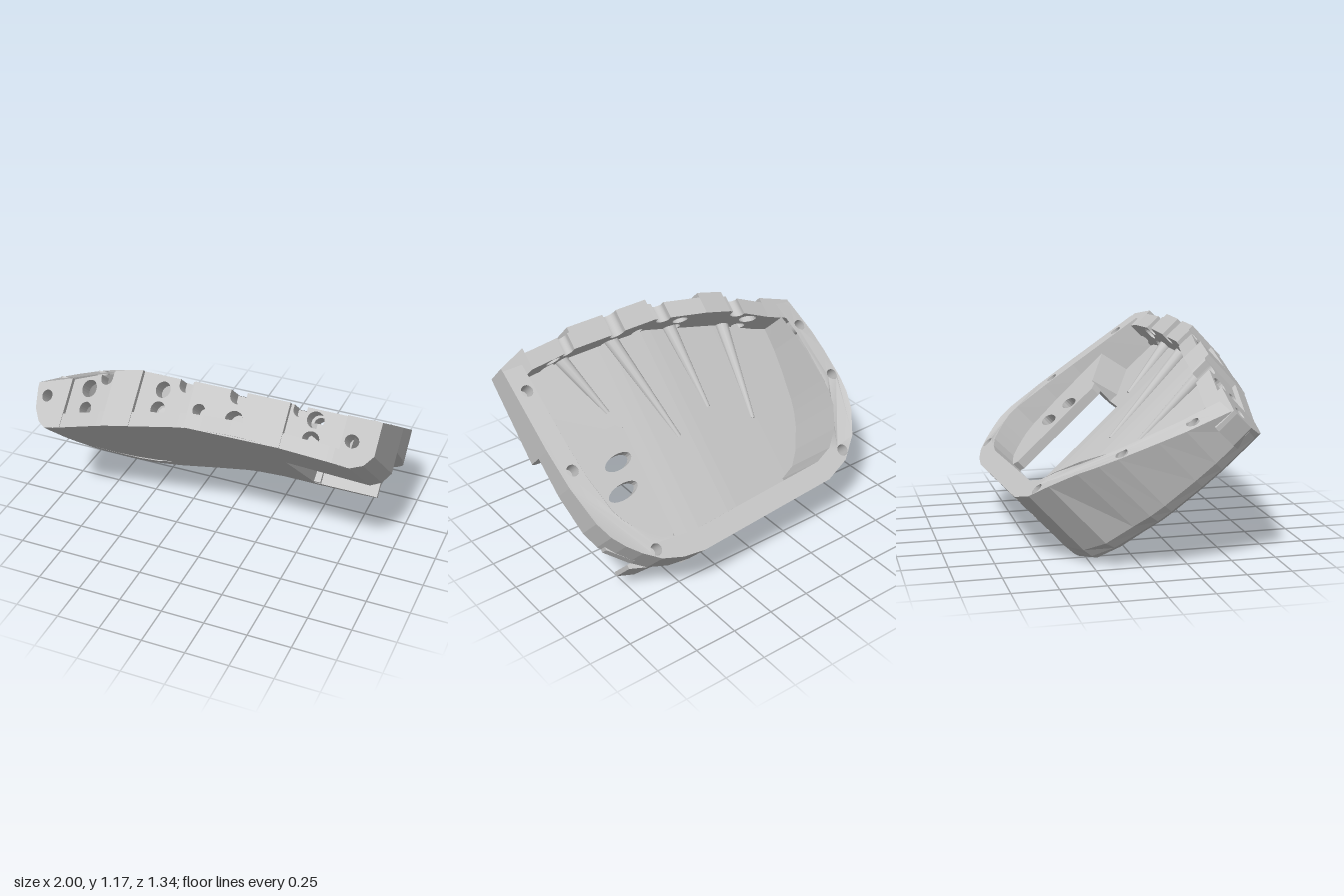
import * as THREE from 'three';

const lerpTable = (t, x) => {
  if (x <= t[0][0]) return t[0][1];
  for (let i = 1; i < t.length; i++) {
    const [x0, y0] = t[i - 1], [x1, y1] = t[i];
    if (x <= x1) return y0 + (y1 - y0) * (x - x0) / (x1 - x0);
  }
  return t[t.length - 1][1];
};
const clamp = THREE.MathUtils.clamp, lerp = THREE.MathUtils.lerp;

// Local frame: x across, y out of the palm opening, z along the palm towards the knuckles.
const TILT = 0.75;
const POCKET = { x: 0.41, z0: -0.165, z1: 0.55, y: 0.47 };
const FLOOR = 0.08;
const bottomY = x => lerpTable([[-1, 0.1], [-0.85, 0.125], [-0.5, 0.19], [0, 0.27], [0.3, 0.285], [1, 0.26]], x);
const frontZ = x => lerpTable([[-1, 0.9], [-0.85, 0.935], [-0.5, 1.06], [0, 1.165], [0.3, 1.178], [0.8, 1.15], [1, 1.07]], x);
const rimY = (x, z) => 0.69 - 0.15 * Math.max(0, z - 0.03)
  - 0.17 * clamp((-0.4 - x) / 0.5, 0, 1.2) * clamp(z / 0.95, 0, 1);

// Straight, perforated stretch of the wrist wall, then the whole rim outline (x, z)
const wristZ = x => lerp(-0.22, -0.277, (x + 0.47) / 0.92);
const wrist = [0.45, 0.2, 0, -0.2, -0.47].map(x => [x, wristZ(x)]);
const W0 = 10, W1 = 14; // outline indices of the wrist stretch
const outline = [[1, 1.05], [1, 0.8], [1, 0.55], [0.99, 0.32], [0.955, 0.087], [0.915, -0.012], [0.86, -0.085],
  [0.79, -0.155], [0.7, -0.222], [0.58, -0.262], ...wrist, [-0.63, -0.158], [-0.75, -0.045],
  [-0.85, 0.105], [-0.9, 0.21], [-0.93, 0.305], [-0.97, 0.51], [-0.99, 0.65], [-1, 0.885]];
const inward = outline.map((p, i) => {
  const a = outline[Math.max(0, i - 1)], b = outline[Math.min(outline.length - 1, i + 1)];
  const dx = b[0] - a[0], dz = b[1] - a[1], l = Math.hypot(dx, dz);
  return [dz / l, -dx / l];
});
const inset = (i, d) => [outline[i][0] + inward[i][0] * d, outline[i][1] + inward[i][1] * d];
// How far the wall's lower edge is rounded in
const baseInset = i => lerpTable([[2, 0.1], [W0, 0.045], [W1 - 1, 0.035], [W1, 0.012], [W1 + 1, 0.025], [W1 + 3, 0.1], [22, 0.12]], i);

const hole = (x, y, rx, ry = rx, rot = 0) => new THREE.Path().absellipse(x, y, rx, ry, 0, Math.PI * 2, true, rot);
const polygon = pts => new THREE.Shape(pts.map(p => new THREE.Vector2(p[0], p[1])));
const plan = pts => polygon(pts.map(([x, z]) => [x, -z]));

// Move every vertex by a rule, then refresh the flat normals
function warp(g, rule) {
  const p = g.attributes.position, v = new THREE.Vector3();
  for (let i = 0; i < p.count; i++) {
    rule(v.fromBufferAttribute(p, i));
    p.setXYZ(i, v.x, v.y, v.z);
  }
  g.computeVertexNormals();
  return g;
}
const extrude = (shape, depth) => new THREE.ExtrudeGeometry(shape, { depth, bevelEnabled: false, curveSegments: 10 });
// Plan shape lying flat and extruded upwards
const slab = (shape, depth) => extrude(shape, depth).rotateX(-Math.PI / 2);

// Side and wrist wall: a cross-section swept along the outline
function wallGeometry() {
  const sections = [];
  const section = (i, kind) => {
    const [x, z] = outline[i], k = baseInset(i), draft = x < -0.8 ? 0.03 : 0;
    const base = kind === 'raised' ? POCKET.y : bottomY(inset(i, k)[0]);
    const end = kind === 'low' ? base + 0.09 : rimY(x, z);
    const prof = kind === 'raised'
      ? [[0, end], [0, base + 0.1], [0, base + 0.03], [0, base], [0.13, base], [0.12, end]]
      : [[0, end], [draft, base + 0.09], [0.4 * k + draft / 2, base + 0.03], [k, base], [0.14, base + 0.005], [0.12, end]];
    sections.push(prof.map(([d, y]) => { const p = inset(i, d); return [p[0], y, p[1]]; }));
  };
  outline.forEach((p, i) => {
    if (i <= 2) section(i);
    if (i >= 2 && i <= W0) section(i, 'raised');
    if (i >= W0 && i <= W1) section(i, 'low');
    if (i >= W1) section(i);
  });
  const pos = [];
  for (let i = 0; i + 1 < sections.length; i++) {
    const s = sections[i], t = sections[i + 1];
    for (let j = 0; j + 1 < s.length; j++) {
      pos.push(...s[j], ...s[j + 1], ...t[j + 1], ...s[j], ...t[j + 1], ...t[j]);
    }
  }
  const g = new THREE.BufferGeometry();
  g.setAttribute('position', new THREE.Float32BufferAttribute(pos, 3));
  g.computeVertexNormals();
  return g;
}

// Curved floor between two x limits, from a rear edge up to the knuckles
function floorGeometry(x0, x1, rearZ) {
  const g = new THREE.BoxGeometry(1, 1, 1, 24, 1, 1).toNonIndexed();
  return warp(g, v => {
    const x = lerp(x0, x1, Math.pow(v.x + 0.5, 1.5));
    v.set(x, bottomY(x) + FLOOR * (v.y + 0.5), lerp(rearZ(x), frontZ(x) - 0.004, v.z + 0.5));
  });
}

// One upright block of the knuckle wall, with top notches and bored holes
function knucklePanel({ x0, x1, recess = 0, notches = [], holes = [], low }) {
  const top = x => lerp(rimY(x0, frontZ(x0)), rimY(x1, frontZ(x1)), (x - x0) / (x1 - x0));
  const s = new THREE.Shape();
  (low || [[x0, bottomY(x0)], [x1, bottomY(x1)]]).forEach((p, i) => i ? s.lineTo(...p) : s.moveTo(...p));
  s.lineTo(x1, top(x1));
  for (const [x, r] of notches) {
    s.lineTo(x + r, top(x + r));
    s.lineTo(x + r, top(x) - 0.025);
    s.absarc(x, top(x) - 0.025, r, 0, Math.PI, true);
    s.lineTo(x - r, top(x - r));
  }
  s.lineTo(x0, top(x0));
  s.holes = holes.map(h => hole(...h));
  return warp(extrude(s, 0.13 - recess), v => {
    v.z += lerp(frontZ(x0), frontZ(x1), (v.x - x0) / (x1 - x0)) - 0.13;
  });
}

export function createModel() {
  const model = new THREE.Group();
  model.name = 'palmShell';
  const palm = new THREE.Group();
  palm.name = 'tiltedPalm';
  palm.rotation.x = -TILT;
  model.add(palm);

  const grey = new THREE.MeshStandardMaterial({ color: 0xc6c6c6 });
  grey.name = 'grey plastic';
  grey.side = THREE.DoubleSide;
  const add = (name, geometry) => {
    const m = new THREE.Mesh(geometry, grey);
    m.name = name;
    palm.add(m);
    return m;
  };

  add('sideWall', wallGeometry());

  // Palm floor, with the thumb pocket left out of one corner
  const rear = outline.map((p, i) => inset(i, baseInset(i))).slice(W0).reverse();
  add('palmFloor', floorGeometry(rear[0][0], POCKET.x, x => lerpTable(rear, x)));
  add('palmFloorBesideThumb', floorGeometry(POCKET.x, 0.9, () => POCKET.z1));

  // Rim face with screw holes
  const screws = [[-0.64, -0.1], [-0.89, 0.34], [-0.935, 0.71], [0.71, -0.165], [0.925, 0.4], [0.93, 0.9]];
  const rim = plan([...outline, ...outline.map((p, i) => inset(i, 0.12)).reverse()]);
  rim.holes = screws.map(([x, z]) => hole(x, -z, 0.034));
  add('rim', warp(new THREE.ShapeGeometry(rim, 10).rotateX(-Math.PI / 2), v => { v.y = rimY(v.x, v.z); }));
  for (const [x, z] of screws) {
    add('screwHole', new THREE.CylinderGeometry(0.034, 0.034, 0.1, 16, 1, true)).position.set(x, rimY(x, z) - 0.052, z);
    add('screwHoleEnd', new THREE.CircleGeometry(0.034, 16).rotateX(-Math.PI / 2)).position.set(x, rimY(x, z) - 0.1, z);
  }

  // Perforated wrist wall
  const back = polygon([...wrist.map(([x]) => [x, bottomY(x) + 0.085]), ...wrist.map(([x]) => [x, 0.688]).reverse()]);
  [[-0.4, 0.6, 5], [-0.305, 0.513, 4], [-0.4, 0.42, 5]].forEach(([x, y, n]) => {
    for (let i = 0; i < n; i++) back.holes.push(hole(x + 0.19 * i, y + 0.007 * i, 0.043));
  });
  add('wristWall', warp(extrude(back, 0.12), v => { v.z += wristZ(v.x); }));

  // Knuckle wall: raised blocks alternating with recessed finger seats
  [
    { x0: -1, x1: -0.78, holes: [[-0.92, 0.3, 0.035]],
      low: [[-1, 0.34], [-0.975, 0.22], [-0.93, 0.15], [-0.88, 0.12], [-0.78, bottomY(-0.78)]] },
    { x0: -0.78, x1: -0.5, recess: 0.03, notches: [[-0.56, 0.04]], holes: [[-0.66, 0.385, 0.05], [-0.65, 0.27, 0.04]] },
    { x0: -0.5, x1: -0.33 },
    { x0: -0.33, x1: 0, recess: 0.03, notches: [[-0.06, 0.04]], holes: [[-0.19, 0.45, 0.045], [-0.19, 0.34, 0.045]] },
    { x0: 0, x1: 0.53, notches: [[0.25, 0.045]], holes: [[0.06, 0.375, 0.035], [0.26, 0.365, 0.05]] },
    { x0: 0.53, x1: 0.83, recess: 0.03, notches: [[0.58, 0.035]], holes: [[0.67, 0.465, 0.045], [0.67, 0.36, 0.045]] },
    { x0: 0.83, x1: 1, holes: [[0.88, 0.4, 0.035]],
      low: [[0.83, bottomY(0.83)], [0.9, 0.265], [0.96, 0.295], [1, 0.355]] },
  ].forEach(p => add(p.recess ? 'fingerSeat' : 'knuckleBlock', knucklePanel(p)));

  // Thumb pocket: raised ceiling with slots
  const ceiling = plan([[0.49, 0.52], [0.53, 0.555], [0.93, 0.555], [0.9, -0.05], [0.78, -0.165], [0.54, -0.165], [0.49, -0.11]]);
  ceiling.holes = [hole(0.66, -0.2, 0.1, 0.042, 0.15), hole(0.61, -0.36, 0.09, 0.042, 0.15)];
  add('thumbPocketCeiling', slab(ceiling, 0.06).translate(0, POCKET.y, 0));
  // Sloping pocket end, running diagonally into the side wall
  const end = plan([[0.6, 0.55], [0.6, 0.63], [0.92, 0.83], [0.92, 0.55]]);
  add('thumbPocketEnd', warp(slab(end, 0.25).translate(0, 0.28, 0), v => {
    if (v.y > 0.4 && v.z > 0.56) v.z -= 0.07;
  }));
  // Ledge closing the wrist end of the pocket, its lower rear edge bevelled
  const ledge = plan([[POCKET.x, POCKET.z0], [0.8, POCKET.z0], [0.8, -0.19], ...outline.slice(8, W0 + 1), [POCKET.x, wristZ(POCKET.x)]]);
  add('pocketLedge', warp(slab(ledge, POCKET.y - 0.28).translate(0, 0.28, 0), v => {
    if (v.y < 0.3 && v.z < -0.18) v.z = Math.max(v.z, -0.225);
  }));

  // Tapered cord guides running up the floor to the knuckles
  for (const [x0, z0, x1, z1] of [[-0.45, 0.32, -0.55, 0.93], [-0.18, 0.48, -0.17, 1.02], [0.1, 0.38, 0.24, 1.05], [0.45, 0.66, 0.58, 1.05]]) {
    const a = new THREE.Vector3(x0, bottomY(x0) + FLOOR - 0.005, z0), b = new THREE.Vector3(x1, bottomY(x1) + FLOOR + 0.01, z1);
    const guide = add('cordGuide', new THREE.CylinderGeometry(0.042, 0.014, a.distanceTo(b), 10));
    guide.position.copy(a).lerp(b, 0.5);
    guide.quaternion.setFromUnitVectors(new THREE.Vector3(0, 1, 0), b.sub(a).normalize());
  }
  return model;
}
